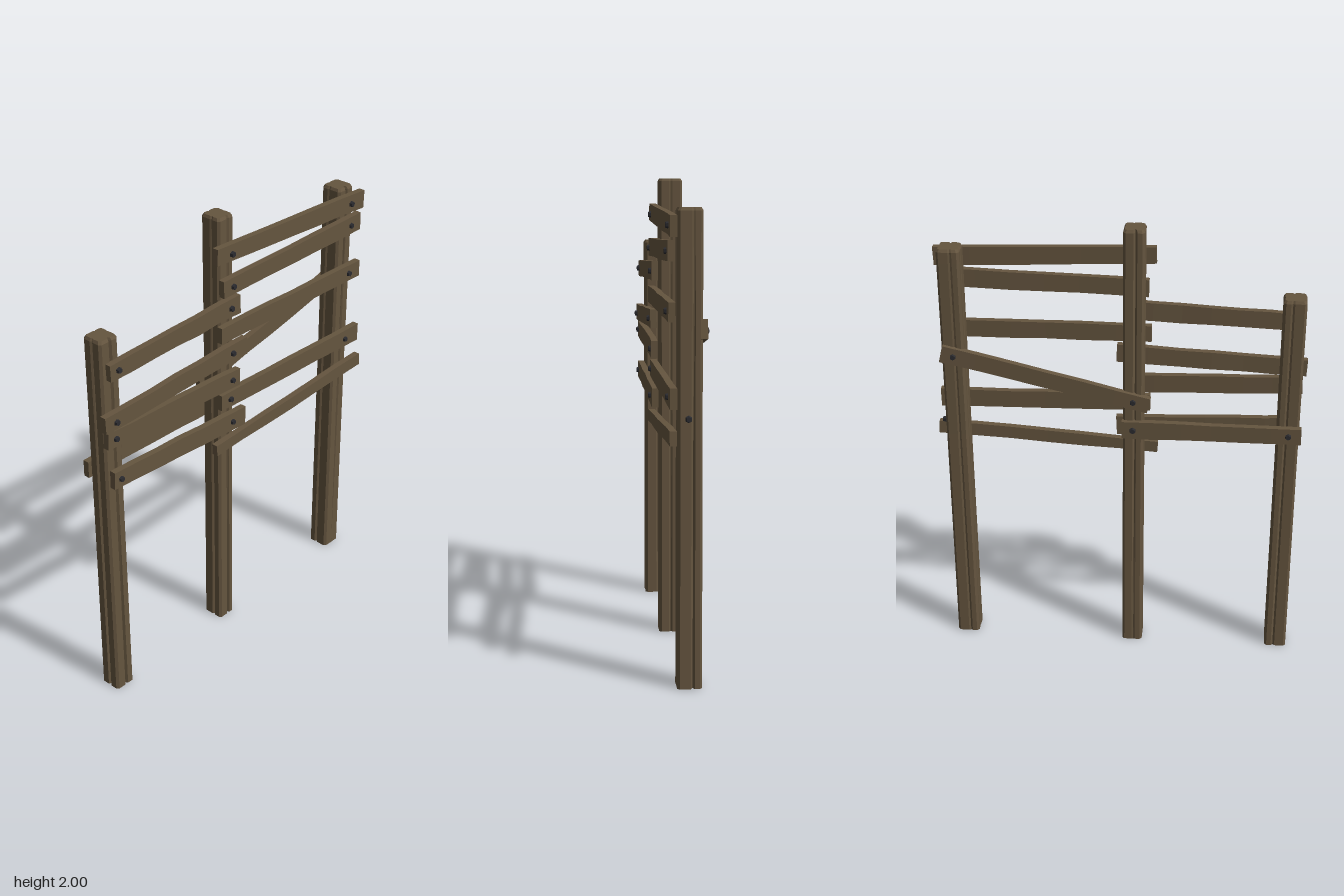
import * as THREE from 'three';

const wood = new THREE.MeshStandardMaterial({ color: 0x65553f });
wood.name = 'weathered wood';
const iron = new THREE.MeshStandardMaterial({ color: 0x2b2b2f });
iron.name = 'dark iron';

// small repeatable noise for the hand-cut look
let seed = 7;
const rnd = () => ((seed = (seed * 16807) % 2147483647) / 2147483647) * 2 - 1;

function flat(geo) {
  const g = geo.index ? geo.toNonIndexed() : geo;
  g.computeVertexNormals();
  return g;
}

// Post: stacked rings of a chamfered square with a drying crack in each face.
// cracks: per face (front, +x, back, -x) [offset, depth at foot, depth at top]
function post(name, x0, x1, z0, z1, height, cracks) {
  const hx = (x1 - x0) / 2, hz = (z1 - z0) / 2, c = 0.01;
  const rings = [[0, 1], [height * 0.55, 0.97], [height - 0.06, 0.99], [height - 0.012, 0.99], [height, 0.86]]
    .map(([y, s]) => {
      const pts = [];
      const k = y / height;
      for (let f = 0; f < 4; f++) {
        const a = f * Math.PI / 2, nx = Math.sin(a), nz = Math.cos(a);
        const hn = f % 2 ? hx : hz, ht = f % 2 ? hz : hx;
        const [o, d0, d1] = cracks[f];
        const d = d0 + (d1 - d0) * k;
        for (const [t, n] of [[c - ht, hn], [o - 0.008, hn], [o, hn - d], [o + 0.008, hn], [ht - c, hn]]) {
          pts.push(new THREE.Vector3((nx * n + nz * t) * s, y, (nz * n - nx * t) * s));
        }
      }
      return pts;
    });
  const v = [];
  const tri = (...ps) => ps.forEach(p => v.push(p.x, p.y, p.z));
  const n = rings[0].length, last = rings.length - 1;
  const foot = new THREE.Vector3(), head = new THREE.Vector3(0, height, 0);
  for (let i = 0; i < n; i++) {
    const j = (i + 1) % n;
    for (let r = 0; r < last; r++) {
      const lo = rings[r], hi = rings[r + 1];
      tri(lo[i], lo[j], hi[j]);
      tri(lo[i], hi[j], hi[i]);
    }
    tri(head, rings[last][i], rings[last][j]);
    tri(foot, rings[0][j], rings[0][i]);
  }
  const geo = new THREE.BufferGeometry();
  geo.setAttribute('position', new THREE.Float32BufferAttribute(v, 3));
  const mesh = new THREE.Mesh(flat(geo), wood);
  mesh.name = name;
  mesh.position.set((x0 + x1) / 2, 0, (z0 + z1) / 2);
  return mesh;
}

// Plank between two end centres, tapering from height h0 to h1, with uneven edges
function plank(name, [x0, y0, h0], [x1, y1, h1], z) {
  const len = Math.hypot(x1 - x0, y1 - y0), segs = 6;
  const geo = new THREE.BoxGeometry(len, 1, 0.028, segs, 1, 1);
  const p = geo.attributes.position;
  const jitter = Array.from({ length: segs + 1 }, () => [rnd() * 0.002, rnd() * 0.002, rnd() * 0.002]);
  for (let i = 0; i < p.count; i++) {
    const u = p.getX(i) / len + 0.5, up = p.getY(i) > 0;
    const j = jitter[Math.round(u * segs)];
    const h = h0 + (h1 - h0) * u;
    p.setY(i, (up ? h / 2 : -h / 2) + j[up ? 0 : 1]);
    p.setZ(i, p.getZ(i) + j[2]);
  }
  const mesh = new THREE.Mesh(flat(geo), wood);
  mesh.name = name;
  mesh.position.set((x0 + x1) / 2, (y0 + y1) / 2, z);
  mesh.rotation.z = Math.atan2(y1 - y0, x1 - x0);
  return mesh;
}

const boltGeo = flat(new THREE.CylinderGeometry(0.011, 0.015, 0.014, 6).rotateX(Math.PI / 2));
function bolt(x, y, z, turn = 0) {
  const mesh = new THREE.Mesh(boltGeo, iron);
  mesh.name = 'bolt';
  mesh.position.set(x, y, z);
  mesh.rotation.y = turn;
  return mesh;
}

export function createModel() {
  const fence = new THREE.Group();
  fence.name = 'fence';

  // Posts
  fence.add(
    post('rightPost', -0.777, -0.68, -0.055, 0.043, 1.715,
      [[0.005, 0.016, 0.01], [0.01, 0.006, 0.003], [-0.01, 0.008, 0.004], [0, 0.016, 0.006]]),
    post('middlePost', -0.115, -0.025, -0.063, 0.037, 2,
      [[0.008, 0.016, 0.006], [0, 0.008, 0.003], [0.006, 0.003, 0.014], [0.008, 0.01, 0.004]]),
    post('leftPost', 0.645, 0.742, -0.062, 0.037, 1.89,
      [[0, 0, 0.014], [0.012, 0.014, 0.002], [0.01, 0.005, 0.003], [-0.01, 0.008, 0.004]]),
  );

  // Front planks: two ends [x, y, height], z, then bolt positions [x, y]
  const front = [
    [[-0.155, 1.857, 0.075], [0.775, 1.82, 0.08], 0.055, [[-0.07, 1.847], [0.69, 1.823]]],
    [[-0.125, 1.706, 0.073], [0.75, 1.727, 0.08], 0.061, [[-0.07, 1.705], [0.685, 1.725]]],
    [[-0.138, 1.502, 0.072], [0.76, 1.496, 0.076], 0.061, [[0.685, 1.495]]],
    [[-0.135, 1.178, 0.074], [0.777, 1.165, 0.08], 0.055, [[-0.08, 1.178], [0.685, 1.163]]],
    [[-0.17, 0.961, 0.052], [0.795, 1.017, 0.058], 0.061, []],
    [[-0.752, 1.58, 0.074], [-0.022, 1.608, 0.082], 0.055, [[-0.71, 1.582], [-0.075, 1.605]]],
    [[-0.797, 1.368, 0.074], [0.01, 1.403, 0.08], 0.063, [[-0.74, 1.365], [-0.075, 1.4]]],
    [[-0.782, 1.288, 0.076], [-0.025, 1.266, 0.08], 0.056, [[-0.74, 1.287], [-0.07, 1.267]]],
    [[-0.76, 1.094, 0.078], [0.01, 1.06, 0.084], 0.057, [[-0.725, 1.093], [-0.07, 1.063]]],
  ];
  front.forEach(([a, b, z, bolts]) => {
    fence.add(plank('frontPlank', a, b, z));
    bolts.forEach(([x, y]) => fence.add(bolt(x, y, z + 0.018)));
  });

  // Back planks, one of them slipped to a slant
  const back = [
    [[-0.785, 1.107, 0.074], [-0.022, 1.104, 0.078], -0.068, [[-0.73, 1.107], [-0.07, 1.105]]],
    [[-0.138, 1.225, 0.068], [0.742, 1.43, 0.076], -0.064, [[-0.07, 1.238], [0.69, 1.418]]],
  ];
  back.forEach(([a, b, z, bolts]) => {
    fence.add(plank('backPlank', a, b, z));
    bolts.forEach(([x, y]) => fence.add(bolt(x, y, z - 0.018, Math.PI)));
  });

  // Loose bolt beside the left post
  fence.add(bolt(0.757, 1.083, -0.005, Math.PI / 2));
  return fence;
}
